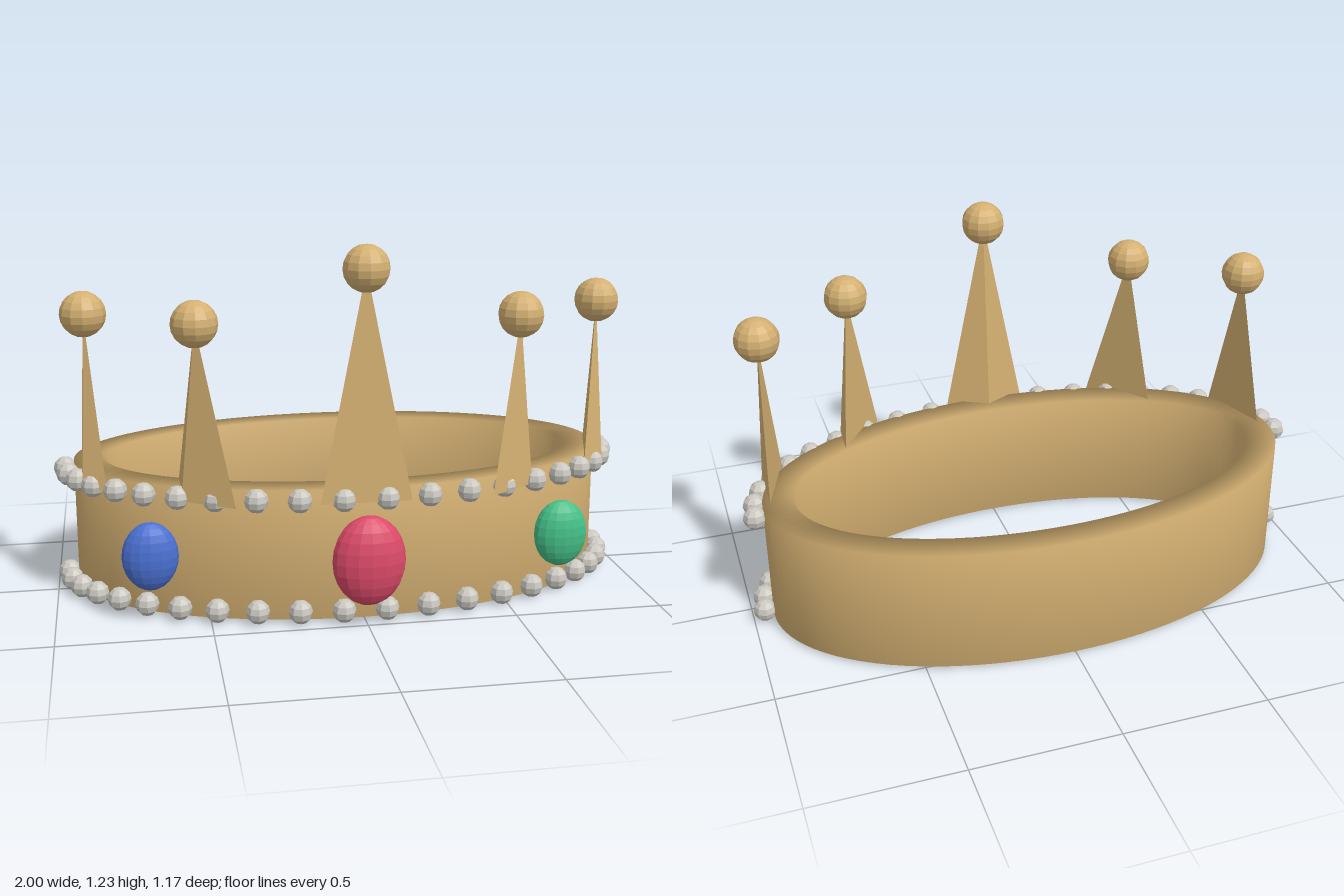
import * as THREE from 'three';
import { mergeVertices } from 'three/addons/utils/BufferGeometryUtils.js';
import { ConvexGeometry } from 'three/addons/geometries/ConvexGeometry.js';

const CENTRE_Z = -0.07; // centre of the oval band

const material = (name, color) => {
  const m = new THREE.MeshStandardMaterial({ color });
  m.name = name;
  return m;
};

// Sphere with flat facets
function facetedSphere(radius, across, down) {
  const g = new THREE.SphereGeometry(radius, across, down).toNonIndexed();
  g.computeVertexNormals();
  return g;
}

// Oval ring with a rectangular section and softly blended normals
function bandGeometry() {
  const profile = [[0.93, 0.01], [0.93, 0.45], [0.825, 0.45], [0.825, 0.01], [0.93, 0.01]]
    .map(([r, y]) => new THREE.Vector2(r, y));
  let g = new THREE.LatheGeometry(profile, 96);
  const p = g.attributes.position;
  for (let i = 0; i < p.count; i++) {
    const outer = Math.hypot(p.getX(i), p.getZ(i)) > 0.88;
    p.setZ(i, p.getZ(i) * (outer ? 0.515 / 0.93 : 0.4125 / 0.825) + CENTRE_Z);
  }
  g.deleteAttribute('normal');
  g.deleteAttribute('uv');
  g = mergeVertices(g, 1e-4);
  g.computeVertexNormals();
  return g;
}

export function createModel() {
  const crown = new THREE.Group();
  crown.name = 'crown';
  const gold = material('gold', 0xd4b072);
  const silver = material('pearl silver', 0xcac7c0);
  const red = material('red gem', 0xdc4a69);
  const blue = material('blue gem', 0x4a70d2);
  const green = material('green gem', 0x45c088);

  const add = (name, geometry, mat, x = 0, y = 0, z = 0) => {
    const mesh = new THREE.Mesh(geometry, mat);
    mesh.name = name;
    mesh.position.set(x, y, z);
    crown.add(mesh);
    return mesh;
  };

  add('band', bandGeometry(), gold);

  // Three-sided spikes, each topped by a ball: tip, then base corners as [x, z]
  const ball = facetedSphere(0.076, 12, 10);
  const spike = (name, [x, y, z], corners, side = 1) => {
    const points = corners.map(([cx, cz]) => new THREE.Vector3(cx * side, 0.41, cz));
    points.push(new THREE.Vector3(x * side, y, z));
    add(name + 'Spike', new ConvexGeometry(points), gold);
    add(name + 'Ball', ball, gold, x * side, y, z);
  };
  spike('centre', [0, 1.16, 0.443], [[-0.15, 0.468], [0.15, 0.468], [0, 0.393]]);
  for (const side of [1, -1]) {
    const label = side > 0 ? 'left' : 'right';
    spike(label + 'Front', [0.53, 0.985, 0.35], [[0.42, 0.465], [0.585, 0.355], [0.59, 0.23]], side);
    spike(label + 'Side', [0.875, 0.985, 0.105], [[0.82, 0.205], [0.9, 0.165], [0.905, -0.06]], side);
  }

  // Two rows of pearls around the front half
  const pearl = facetedSphere(0.04, 8, 6);
  for (const [row, y] of [['lower', 0.042], ['upper', 0.42]]) {
    for (let i = 0; i < 22; i++) {
      const a = (Math.PI * i) / 21;
      add(row + 'Pearl', pearl, silver, 0.96 * Math.cos(a), y, CENTRE_Z + 0.53 * Math.sin(a));
    }
  }

  // Oval gems
  const gem = facetedSphere(1, 16, 12);
  add('centreGem', gem, red, 0, 0.23, 0.512).scale.set(0.12, 0.15, 0.07);
  add('rightGem', gem, blue, -0.69, 0.23, 0.355).scale.set(0.092, 0.115, 0.054);
  add('leftGem', gem, green, 0.69, 0.23, 0.355).scale.set(0.092, 0.115, 0.054);

  return crown;
}
